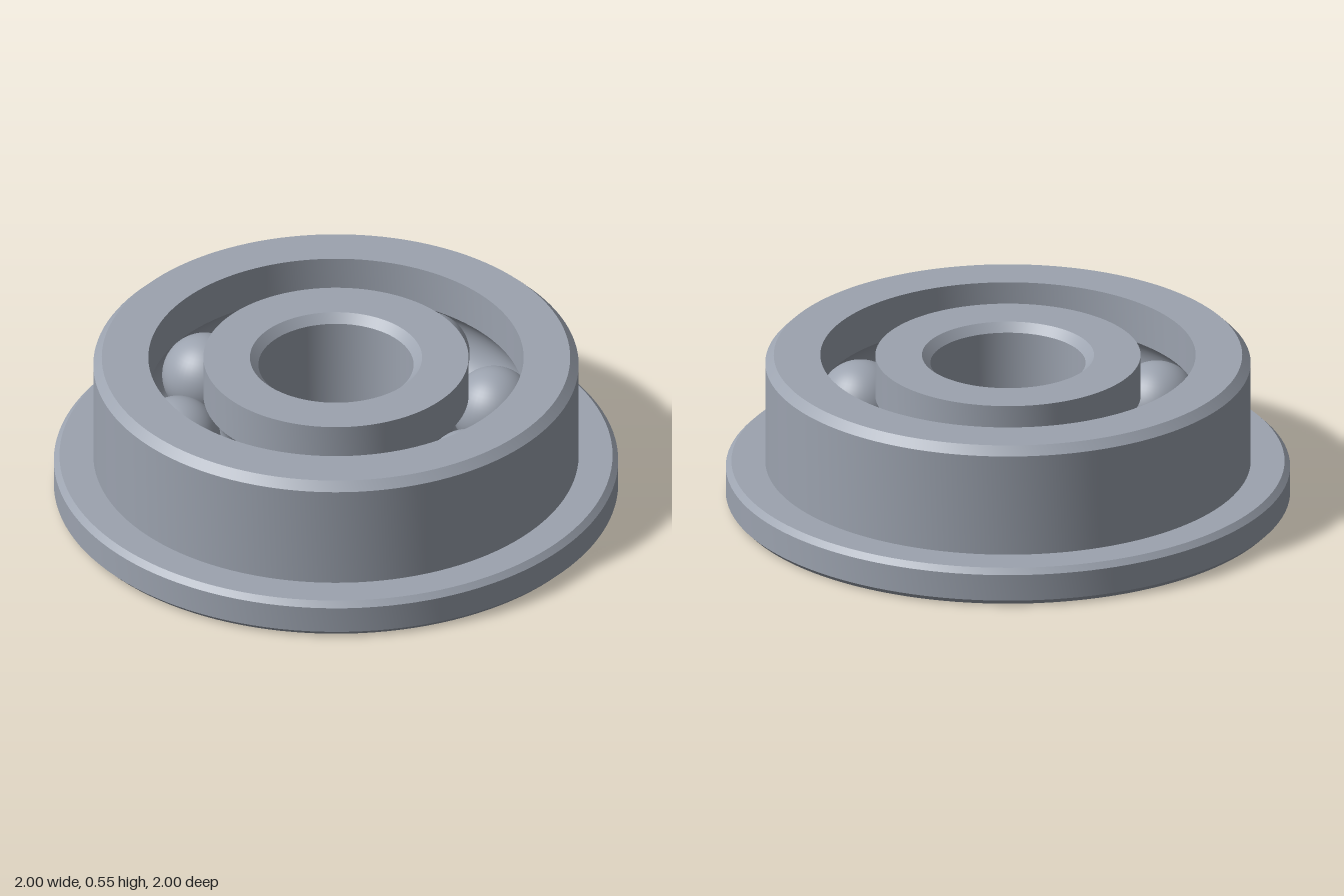
import * as THREE from 'three';
import { toCreasedNormals } from 'three/addons/utils/BufferGeometryUtils.js';

const HEIGHT = 0.545, MID = HEIGHT / 2;
const BALL_RADIUS = 0.15, BALL_ORBIT = 0.568, BALL_COUNT = 8;

// Ball groove cut into a ring wall at radius r; side is +1 outside the balls, -1 inside
function groove(r, side, steps = 14) {
  const radius = BALL_RADIUS + 0.002;
  const half = Math.acos(Math.abs(r - BALL_ORBIT) / radius);
  return Array.from({ length: steps + 1 }, (_, i) => {
    const a = side * half * (1 - (2 * i) / steps);
    return [BALL_ORBIT + side * radius * Math.cos(a), MID + side * radius * Math.sin(a) * side];
  });
}

// Revolve a closed profile of [radius, height] pairs, keeping its edges sharp
function ring(name, profile, material) {
  const points = [...profile, profile[0]].map(([r, y]) => new THREE.Vector2(r, y));
  const mesh = new THREE.Mesh(toCreasedNormals(new THREE.LatheGeometry(points, 128), 0.4), material);
  mesh.name = name;
  return mesh;
}

export function createModel() {
  const steel = new THREE.MeshStandardMaterial({ color: 0x9ca3af });
  steel.name = 'steel';
  const model = new THREE.Group();
  model.name = 'flangedBallBearing';

  // Outer ring with bottom flange, chamfers and inner ball groove
  model.add(ring('outerRing', [
    [0.98, 0], [1, 0.02], [1, 0.118], [0.98, 0.138],
    [0.86, 0.138], [0.86, HEIGHT - 0.03], [0.83, HEIGHT], [0.665, HEIGHT],
    ...groove(0.665, 1), [0.665, 0],
  ], steel));

  // Inner ring with outer ball groove and chamfered bore
  model.add(ring('innerRing', [
    [0.305, 0], [0.47, 0], ...groove(0.47, -1), [0.47, HEIGHT],
    [0.305, HEIGHT], [0.275, HEIGHT - 0.03], [0.275, 0.03],
  ], steel));

  // Balls spaced evenly between the rings
  const balls = new THREE.Group();
  balls.name = 'balls';
  const ballGeometry = new THREE.SphereGeometry(BALL_RADIUS, 40, 28);
  for (let i = 0; i < BALL_COUNT; i++) {
    const a = THREE.MathUtils.degToRad(12) + (i / BALL_COUNT) * Math.PI * 2;
    const ball = new THREE.Mesh(ballGeometry, steel);
    ball.name = 'ball';
    ball.position.set(BALL_ORBIT * Math.cos(a), MID, BALL_ORBIT * Math.sin(a));
    balls.add(ball);
  }
  model.add(balls);
  return model;
}
